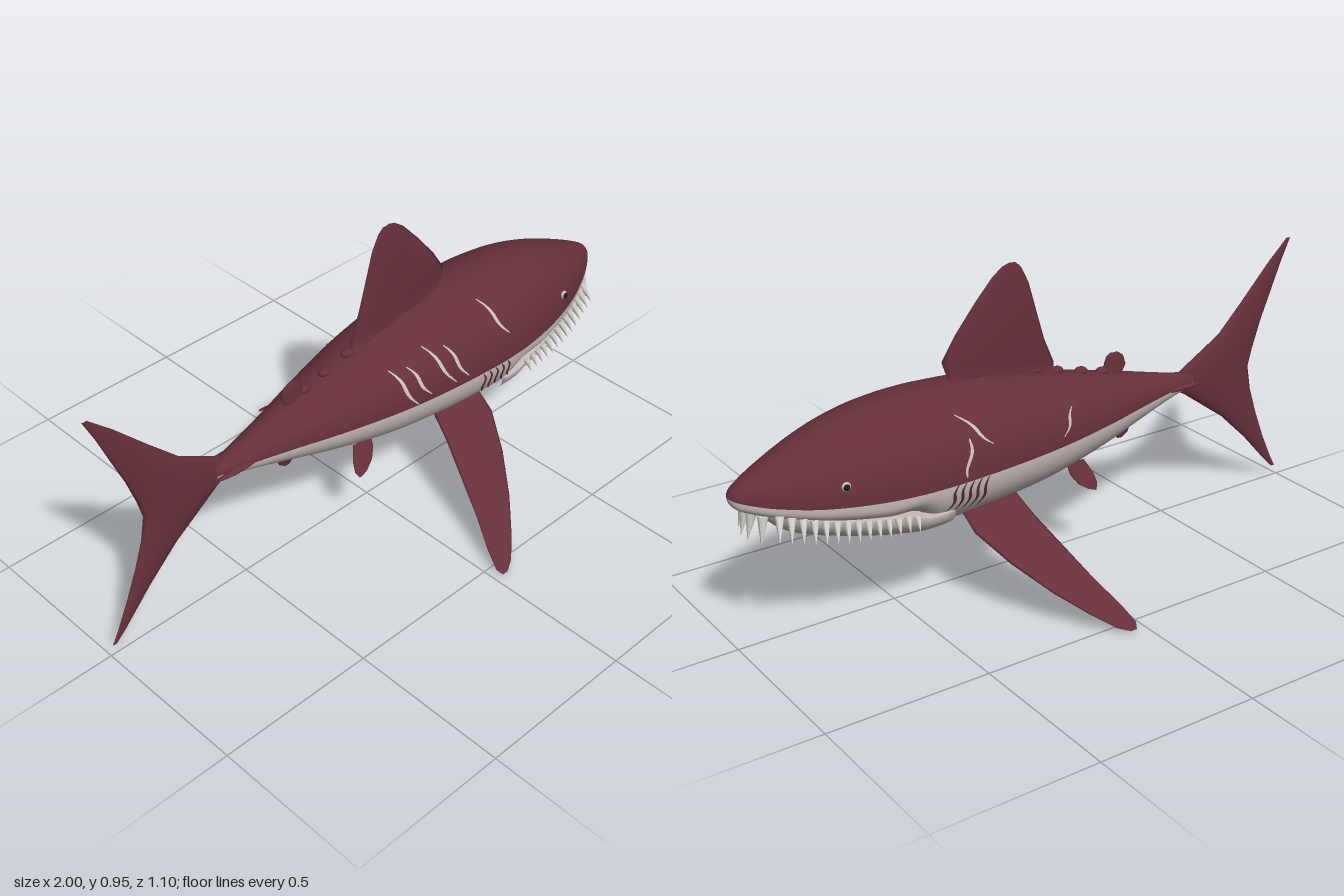
import * as THREE from 'three';

const mat = (name, color, side = THREE.FrontSide) => {
  const m = new THREE.MeshStandardMaterial({ color, side });
  m.name = name;
  return m;
};
const V = (x, y, z) => new THREE.Vector3(x, y, z);

// Body stations: x, back height, colour line, belly height, half width
const STATIONS = [
  [-0.60, 0.465, 0.440, 0.420, 0.022], [-0.50, 0.485, 0.440, 0.400, 0.045],
  [-0.36, 0.520, 0.436, 0.362, 0.080], [-0.20, 0.558, 0.433, 0.320, 0.125],
  [0.00, 0.605, 0.430, 0.280, 0.170], [0.20, 0.640, 0.427, 0.258, 0.195],
  [0.38, 0.652, 0.424, 0.248, 0.204], [0.44, 0.652, 0.423, 0.253, 0.203],
  [0.50, 0.650, 0.422, 0.328, 0.199], [0.60, 0.640, 0.422, 0.345, 0.185],
  [0.70, 0.617, 0.426, 0.360, 0.164], [0.80, 0.582, 0.433, 0.380, 0.133],
  [0.90, 0.538, 0.446, 0.405, 0.088], [0.95, 0.513, 0.456, 0.422, 0.058],
  [0.985, 0.492, 0.465, 0.440, 0.030], [1.00, 0.472, 0.470, 0.468, 0.003],
];
const JAW = [[0.40, 0.258], [0.46, 0.250], [0.54, 0.256], [0.62, 0.273], [0.72, 0.298],
  [0.81, 0.325], [0.86, 0.348], [0.90, 0.385]];

// Smooth interpolation through a table whose first column is x
function sample(table, x, col) {
  const last = table.length - 1;
  let i = 0;
  while (i < last - 1 && x > table[i + 1][0]) i++;
  const slope = (k) => {
    const a = table[Math.max(0, k - 1)], b = table[Math.min(last, k + 1)];
    return (b[col] - a[col]) / (b[0] - a[0]);
  };
  const p = table[i], q = table[i + 1], h = q[0] - p[0];
  const t = THREE.MathUtils.clamp((x - p[0]) / h, 0, 1), t2 = t * t, t3 = t2 * t;
  return p[col] * (2 * t3 - 3 * t2 + 1) + q[col] * (3 * t2 - 2 * t3)
    + slope(i) * h * (t3 - 2 * t2 + t) + slope(i + 1) * h * (t3 - t2);
}
const body = (x) => ({
  top: sample(STATIONS, x, 1), seam: sample(STATIONS, x, 2),
  low: sample(STATIONS, x, 3), w: sample(STATIONS, x, 4),
});

// Closed skin over rings; first half of each ring takes matA, second half matB
function loft(name, rings, matA, matB = matA) {
  const n = rings[0].length, pts = rings.flat(), halves = [[], []];
  const tri = (j, a, b, c) => halves[j < n / 2 ? 0 : 1].push(a, b, c);
  for (let i = 0; i < rings.length - 1; i++) {
    for (let j = 0; j < n; j++) {
      const k = (j + 1) % n, a = i * n, b = a + n;
      tri(j, a + j, b + j, b + k);
      tri(j, a + j, b + k, a + k);
    }
  }
  [0, rings.length - 1].forEach((r, end) => {
    const c = pts.length;
    pts.push(rings[r].reduce((s, p) => s.add(p), V(0, 0, 0)).divideScalar(n));
    for (let j = 0; j < n; j++) {
      const a = r * n + j, b = r * n + (j + 1) % n;
      if (end) tri(j, c, a, b); else tri(j, c, b, a);
    }
  });
  // Turn the faces outward whichever way the rings run
  let volume = 0;
  const mid = pts[0], e = pts.map((p) => p.clone().sub(mid));
  for (const h of halves) {
    for (let i = 0; i < h.length; i += 3) volume += e[h[i]].dot(e[h[i + 1]].clone().cross(e[h[i + 2]]));
  }
  if (volume < 0) halves.forEach((h) => h.reverse());
  const g = new THREE.BufferGeometry().setFromPoints(pts);
  g.setIndex([...halves[0], ...halves[1]]);
  g.addGroup(0, halves[0].length, 0);
  g.addGroup(halves[0].length, halves[1].length, 1);
  g.computeVertexNormals();
  const mesh = new THREE.Mesh(g, [matA, matB]);
  mesh.name = name;
  return mesh;
}

// Fin from sections [trailing point, leading point, half thickness]
function fin(name, sections, normal, matA, matB) {
  const rings = sections.map(([t, l, h]) => Array.from({ length: 16 }, (_, j) => {
    const a = (j / 16) * Math.PI * 2;
    return t.clone().lerp(l, 0.5 + 0.5 * Math.cos(a)).addScaledVector(normal, h * Math.sin(a));
  }));
  return loft(name, rings, matA, matB);
}
// Upright fin in the middle plane, rows of [trail x, trail y, lead x, lead y, half thickness]
const uprightFin = (name, rows, m) => fin(name,
  rows.map((r) => [V(r[0], r[1], 0), V(r[2], r[3], 0), r[4]]), V(0, 0, 1), m);

// Thin ribbon lying on the flank
function stripe(name, x0, y0, x1, y1, side, half, m) {
  const pos = [], idx = [], n = 8;
  for (let i = 0; i <= n; i++) {
    const t = i / n, y = y0 + (y1 - y0) * t;
    const wide = half * (0.35 + 0.65 * Math.sin(Math.PI * t));
    for (const s of [-1, 1]) {
      const x = x0 + (x1 - x0) * t + 0.006 * Math.sin(t * 7) + s * wide, b = body(x);
      const f = (y - b.seam) / (y > b.seam ? b.top - b.seam : b.seam - b.low);
      const z = b.w * Math.sqrt(Math.max(0, 1 - f * f));
      pos.push(x, y + 0.003 * f, side * (z + 0.003));
    }
    if (i < n) idx.push(2 * i, 2 * i + 1, 2 * i + 3, 2 * i, 2 * i + 3, 2 * i + 2);
  }
  const g = new THREE.BufferGeometry();
  g.setAttribute('position', new THREE.Float32BufferAttribute(pos, 3));
  g.setIndex(side > 0 ? idx : idx.reverse());
  g.computeVertexNormals();
  const mesh = new THREE.Mesh(g, m);
  mesh.name = name;
  return mesh;
}

export function createModel() {
  const group = new THREE.Group();
  const red = mat('maroon skin', 0x66303a), pale = mat('pale belly', 0xc4bab5);
  const ivory = mat('ivory teeth', 0xdedbd2), dark = mat('dark eye', 0x1c181a);
  const scarMat = mat('pale scar', 0xc9bfb8, THREE.DoubleSide);
  const gillMat = mat('maroon gill', 0x5c2a34, THREE.DoubleSide);
  const add = (...m) => group.add(...m);
  const ball = (name, m, p, s) => {
    const b = new THREE.Mesh(new THREE.SphereGeometry(1, 16, 12), m);
    b.name = name;
    b.position.copy(p);
    b.scale.copy(s);
    add(b);
  };

  // Body with maroon back and pale underside
  const N = 48, rings = [];
  for (let i = 0; i <= 90; i++) {
    const x = -0.6 + 1.6 * Math.sin((i / 90) * Math.PI / 2), b = body(x);
    const boxy = 1 - 0.35 * THREE.MathUtils.smoothstep(x, 0.42, 0.6);
    rings.push(Array.from({ length: N }, (_, j) => {
      const a = (j / N) * Math.PI * 2, c = Math.cos(a), s = Math.sin(a);
      if (j <= N / 2) return V(x, b.seam + (b.top - b.seam) * s, b.w * c);
      const pw = (v) => Math.sign(v) * Math.abs(v) ** boxy;
      return V(x, b.seam + (b.seam - b.low) * pw(s), b.w * pw(c));
    }));
  }
  add(loft('body', rings, red, pale));

  // Lower jaw
  const jaw = [];
  for (let i = 0; i <= 28; i++) {
    const x = 0.4 + 0.5 * Math.sin((i / 28) * Math.PI / 2), b = body(x);
    const roof = Math.max(b.low, 0.325) + 0.012, low = sample(JAW, x, 1);
    const w = b.w * 0.93 * (1 - 0.55 * THREE.MathUtils.smoothstep(x, 0.83, 0.9));
    jaw.push(Array.from({ length: 32 }, (_, j) => {
      const a = (j / 32) * Math.PI * 2, s = Math.sin(a);
      return V(x, roof + (s > 0 ? 0.01 : roof - low) * s, w * Math.cos(a));
    }));
  }
  add(loft('lowerJaw', jaw, pale));

  // Teeth along the upper lip
  const tooth = (root, dir, len, r) => {
    const t = new THREE.Mesh(new THREE.ConeGeometry(r, len, 8), ivory);
    t.name = 'tooth';
    dir.normalize();
    t.quaternion.setFromUnitVectors(V(0, 1, 0), dir);
    t.position.copy(root).addScaledVector(dir, len / 2);
    add(t);
  };
  for (const s of [-1, 1]) {
    for (let i = 0; i < 14; i++) {
      const t = i / 13, x = 0.52 + 0.37 * t, b = body(x);
      tooth(V(x, b.low + 0.018, s * b.w * 0.93), V(0.1 + 0.2 * t, -1, s * 0.5), 0.045 + 0.03 * t, 0.011 + 0.003 * t);
    }
    tooth(V(0.925, 0.42, s * 0.058), V(0.2, -1, s * 0.15), 0.085, 0.016);
    tooth(V(0.94, 0.425, s * 0.02), V(0.2, -1, 0), 0.09, 0.017);
  }

  // Dorsal, second dorsal, anal and tail fins
  add(uprightFin('dorsalFin', [
    [-0.065, 0.58, 0.29, 0.62, 0.017], [-0.07, 0.62, 0.32, 0.705, 0.018], [-0.035, 0.70, 0.275, 0.775, 0.018],
    [-0.005, 0.80, 0.205, 0.86, 0.016], [0.02, 0.885, 0.145, 0.925, 0.011], [0.045, 0.935, 0.11, 0.95, 0.006],
    [0.065, 0.955, 0.085, 0.957, 0.002]], red));
  add(uprightFin('secondDorsalFin', [
    [-0.32, 0.52, -0.26, 0.53, 0.012], [-0.34, 0.555, -0.255, 0.56, 0.013],
    [-0.33, 0.585, -0.265, 0.59, 0.009], [-0.305, 0.602, -0.28, 0.602, 0.003]], red));
  add(uprightFin('analFin', [
    [-0.35, 0.385, -0.29, 0.37, 0.009], [-0.365, 0.35, -0.295, 0.345, 0.009],
    [-0.355, 0.325, -0.30, 0.325, 0.007], [-0.335, 0.31, -0.315, 0.31, 0.002]], red));
  add(uprightFin('tailFin', [
    [-1.0, 0.84, -0.985, 0.84, 0.002], [-0.965, 0.765, -0.91, 0.77, 0.006], [-0.925, 0.665, -0.80, 0.655, 0.010],
    [-0.89, 0.58, -0.71, 0.565, 0.014], [-0.86, 0.49, -0.57, 0.485, 0.018], [-0.845, 0.43, -0.50, 0.44, 0.020],
    [-0.86, 0.35, -0.58, 0.395, 0.018], [-0.89, 0.26, -0.74, 0.28, 0.014], [-0.93, 0.16, -0.845, 0.18, 0.010],
    [-0.97, 0.075, -0.94, 0.075, 0.005], [-0.99, 0.04, -0.975, 0.04, 0.002]], red));

  // Paired fins: rows of [trail x, lead x, distance out, half thickness]
  for (const s of [-1, 1]) {
    const pectoral = [[0.16, 0.35, 0.12, 0.012], [0.14, 0.345, 0.20, 0.012], [0.105, 0.29, 0.30, 0.010],
      [0.07, 0.215, 0.40, 0.008], [0.035, 0.14, 0.48, 0.006], [0.02, 0.085, 0.53, 0.004], [0.03, 0.05, 0.548, 0.002]];
    const py = (z) => 0.29 - 0.72 * (z - 0.155);
    add(fin('pectoralFin', pectoral.map(([t, l, z, h]) => [V(t, py(z), s * z), V(l, py(z), s * z), h]),
      V(0, 0.81, s * 0.58), red, pale));
    const pelvic = [[-0.13, -0.06, 0.075, 0.007], [-0.15, -0.065, 0.095, 0.007],
      [-0.155, -0.085, 0.11, 0.005], [-0.145, -0.115, 0.12, 0.002]];
    const vy = (z) => 0.315 - 2 * (z - 0.075);
    add(fin('pelvicFin', pelvic.map(([t, l, z, h]) => [V(t, vy(z), s * z), V(l, vy(z) + 0.012, s * z), h]),
      V(0, 0.45, s * 0.89), red, pale));
    ball('tailKeel', red, V(-0.53, 0.44, s * 0.038), V(0.08, 0.008, 0.013));
    ball('eyeSocket', pale, V(0.72, 0.487, s * 0.151), V(0.014, 0.014, 0.008));
    ball('eye', dark, V(0.721, 0.487, s * 0.155), V(0.010, 0.010, 0.008));
    // Gill slits
    for (let i = 0; i < 5; i++) {
      const x = 0.295 + i * 0.026;
      add(stripe('gillSlit', x, 0.425, x + 0.025, 0.33 + 0.004 * i, s, 0.0055, gillMat));
    }
  }

  // Bumps along the spine
  for (const x of [-0.25, -0.17, -0.08, 0.0, 0.07, 0.14, 0.21]) {
    ball('spineBump', red, V(x, body(x).top + 0.003, 0), V(0.022, 0.013, 0.017));
  }

  // Scars: x and y of both ends, then side
  [[-0.025, 0.555, 0.035, 0.435, 1], [0.03, 0.55, 0.085, 0.45, 1], [0.105, 0.58, 0.18, 0.45, 1],
    [0.17, 0.565, 0.23, 0.45, 1], [0.355, 0.62, 0.415, 0.51, 1], [0.37, 0.44, 0.34, 0.54, -1],
    [0.27, 0.51, 0.36, 0.60, -1], [-0.04, 0.53, 0.01, 0.46, -1]]
    .forEach(([a, b, c, d, s]) => add(stripe('scar', a, b, c, d, s, 0.006, scarMat)));
  return group;
}
